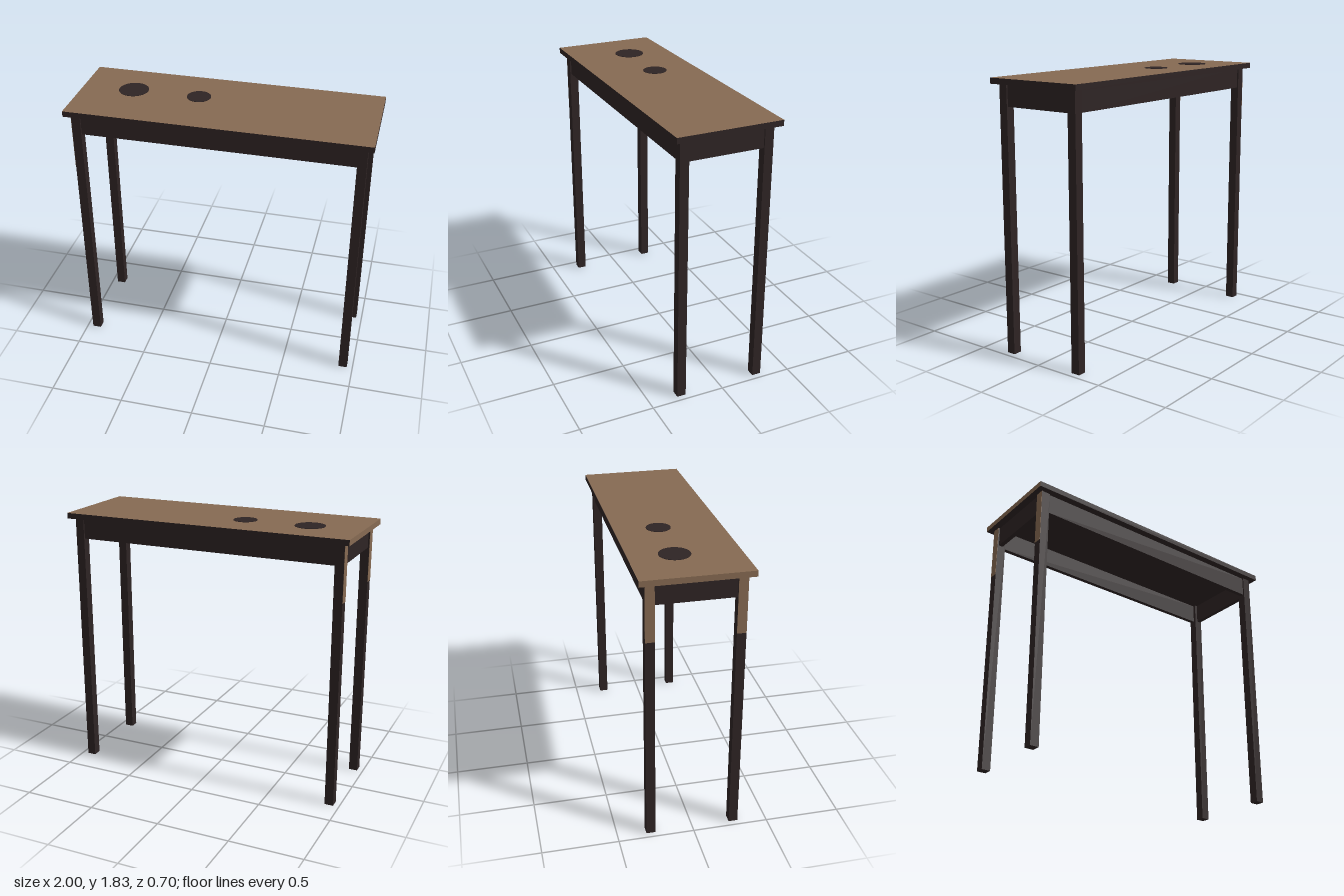
import * as THREE from 'three';

const darkWood = new THREE.MeshStandardMaterial({ color: 0x2e2424 });
darkWood.name = 'darkWood';
const brownWood = new THREE.MeshStandardMaterial({ color: 0x866a52 });
brownWood.name = 'brownWood';

const TOP = 1.825, UNDER = 1.787, LEG = 0.06, LEG_X = 0.93, LEG_Z = 0.28;

export function createModel() {
  const group = new THREE.Group();

  const add = (name, geometry, material, x, y, z) => {
    const mesh = new THREE.Mesh(geometry, material);
    mesh.name = name;
    mesh.position.set(x, y, z);
    group.add(mesh);
    return mesh;
  };
  const box = (name, w, h, d, material, x, y, z) =>
    add(name, new THREE.BoxGeometry(w, h, d), material, x, y, z);

  // Tabletop: brown upper face and -x end, dark elsewhere (+x, -x, +y, -y, +z, -z)
  box('tabletop', 2, TOP - UNDER, 0.7,
    [darkWood, brownWood, brownWood, darkWood, darkWood, darkWood],
    0, (TOP + UNDER) / 2, 0);

  // Round dark marks on the tabletop
  for (const [name, x, r] of [['largeRoundMark', -0.65, 0.1], ['smallRoundMark', -0.2, 0.08]]) {
    add(name, new THREE.CylinderGeometry(r, r, 0.003, 48), darkWood, x, TOP + 0.001, -0.06);
  }

  // Four square legs; those at the -x end have a brown upper outer face
  const split = 1.41;
  for (const sx of [-1, 1]) {
    for (const sz of [-1, 1]) {
      const name = (sz > 0 ? 'front' : 'back') + (sx > 0 ? 'Left' : 'Right') + 'Leg';
      box(name, LEG, UNDER, LEG, darkWood, sx * LEG_X, UNDER / 2, sz * LEG_Z);
      if (sx < 0) {
        box(name + 'Patch', 0.002, UNDER - split, LEG, brownWood,
          -LEG_X - LEG / 2 - 0.001, (UNDER + split) / 2, sz * LEG_Z);
      }
    }
  }

  // Apron rails between the legs, set slightly back from the outer leg faces
  const railH = 0.142, railT = 0.03, inset = 0.01;
  const railY = UNDER - railH / 2;
  const railOff = LEG / 2 - inset - railT / 2;
  for (const s of [-1, 1]) {
    box(s > 0 ? 'frontApron' : 'backApron', 2 * LEG_X - LEG, railH, railT, darkWood,
      0, railY, s * (LEG_Z + railOff));
    box(s > 0 ? 'leftApron' : 'rightApron', railT, railH, 2 * LEG_Z - LEG, darkWood,
      s * (LEG_X + railOff), railY, 0);
  }

  return group;
}
